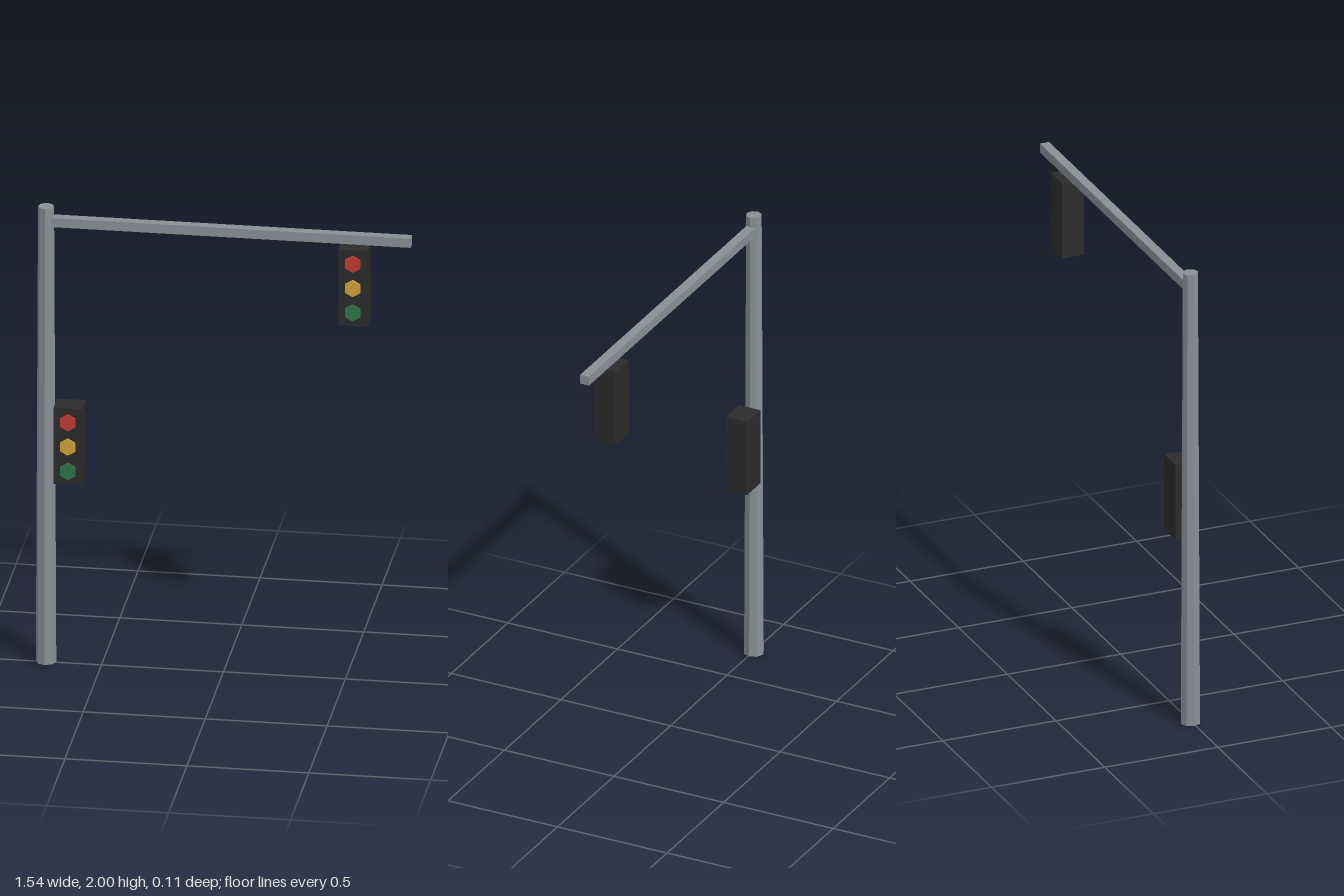
import * as THREE from 'three';

const paint = (name, color) => {
  const m = new THREE.MeshStandardMaterial({ color, flatShading: true });
  m.name = name;
  return m;
};

export function createModel() {
  const steel = paint('greySteel', 0x8a9097);
  const black = paint('housingBlack', 0x2b2b2b);
  const lampPaints = [
    ['redLamp', paint('signalRed', 0xc03a34)],
    ['amberLamp', paint('signalAmber', 0xcfa33c)],
    ['greenLamp', paint('signalGreen', 0x2f7549)],
  ];

  const model = new THREE.Group();
  model.name = 'trafficLight';
  const Z = -0.005;

  const add = (parent, name, geometry, material, x, y, z) => {
    const mesh = new THREE.Mesh(geometry, material);
    mesh.name = name;
    mesh.position.set(x, y, z);
    parent.add(mesh);
    return mesh;
  };

  // Tapered octagonal pole
  add(model, 'pole', new THREE.CylinderGeometry(0.033, 0.042, 2, 8), steel, -0.728, 1, Z);

  // Square arm, rooted in the pole
  const armStart = -0.728, armEnd = 0.77;
  add(model, 'arm', new THREE.BoxGeometry(armEnd - armStart, 0.04, 0.04), steel,
    (armStart + armEnd) / 2, 1.937, Z);

  // Signal heads: a housing with three hexagonal lamps on the front
  const housing = new THREE.BoxGeometry(0.118, 0.334, 0.098);
  const lamp = new THREE.CylinderGeometry(0.036, 0.036, 0.02, 6).rotateX(Math.PI / 2);
  const addHead = (name, x, y) => {
    const head = new THREE.Group();
    head.name = name;
    head.position.set(x, y, Z);
    add(head, 'housing', housing, black, 0, 0, 0);
    lampPaints.forEach(([lampName, material], i) =>
      add(head, lampName, lamp, material, 0, (1 - i) * 0.107, 0.0495));
    model.add(head);
  };
  addHead('hangingSignal', 0.537, 1.738);
  addHead('poleSignal', -0.631, 0.969);

  return model;
}
